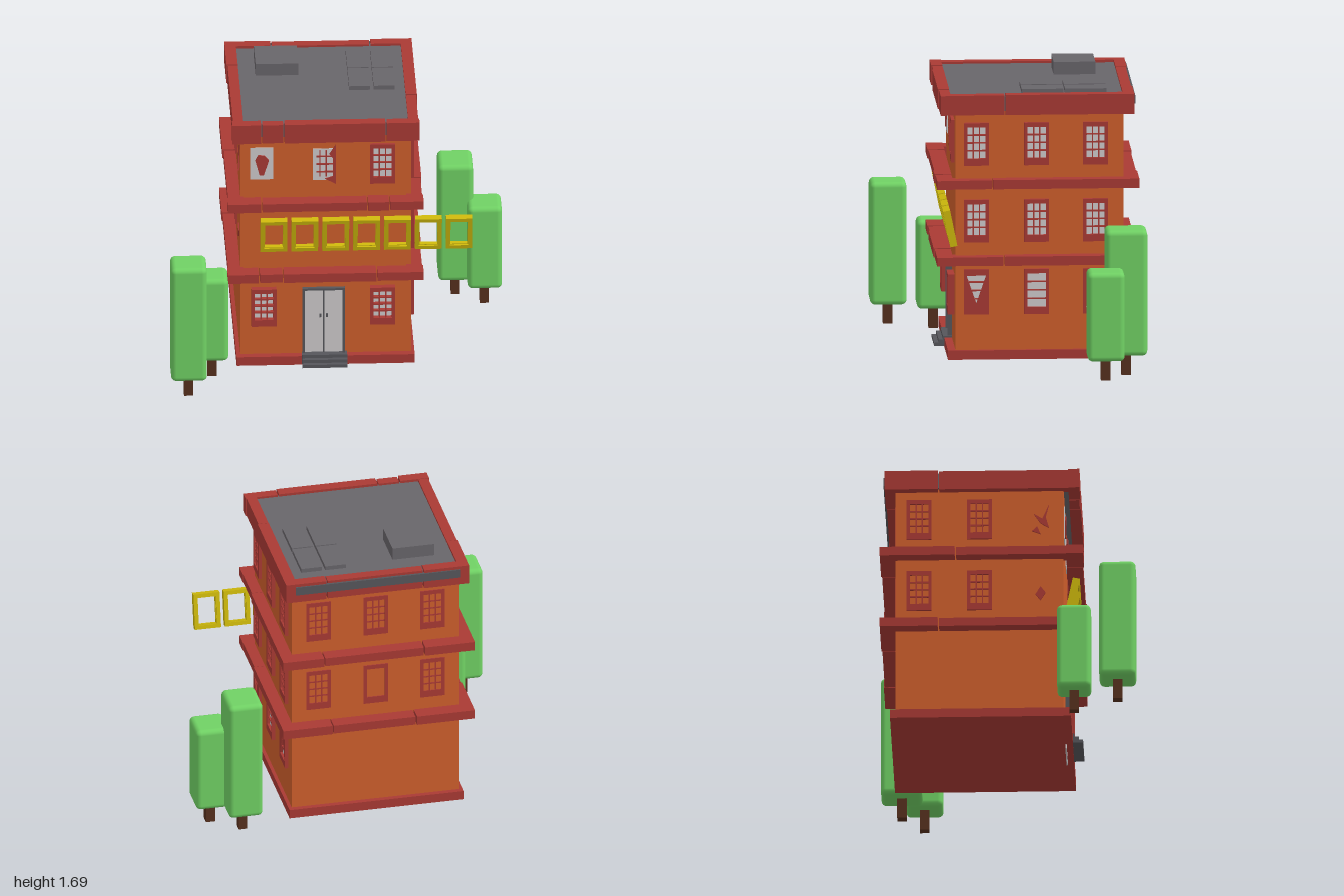
import * as THREE from 'three';
import { RoundedBoxGeometry } from 'three/addons/geometries/RoundedBoxGeometry.js';

const flat = (name, color) => {
  const m = new THREE.MeshStandardMaterial({ color });
  m.name = name;
  return m;
};

export function createModel() {
  const model = new THREE.Group();
  model.name = 'apartmentBuilding';
  const wall = flat('brickOrange', 0xcf5f2c);
  const red = flat('trimRed', 0xa93a34);
  const glass = flat('paleGlass', 0xcfcbcc);
  const roofGrey = flat('roofGrey', 0x68656a);
  const darkGrey = flat('doorGrey', 0x56565b);
  const green = flat('leafGreen', 0x70d164);
  const brown = flat('trunkBrown', 0x56301e);
  const yellow = flat('railYellow', 0xcdb80c);

  const add = (parent, name, geo, mat, x = 0, y = 0, z = 0) => {
    const m = new THREE.Mesh(geo, mat);
    m.name = name;
    m.position.set(x, y, z);
    parent.add(m);
    return m;
  };
  // Box given by its limits on each axis
  const block = (parent, name, mat, x0, x1, y0, y1, z0, z1) =>
    add(parent, name, new THREE.BoxGeometry(x1 - x0, y1 - y0, z1 - z0), mat,
      (x0 + x1) / 2, (y0 + y1) / 2, (z0 + z1) / 2);
  const poly = pts => new THREE.Shape(pts.map(p => new THREE.Vector2(p[0], p[1])));
  const rect = (w, h, dy = 0) => poly([[-w / 2, dy - h / 2], [w / 2, dy - h / 2], [w / 2, dy + h / 2], [-w / 2, dy + h / 2]]);
  const extrude = (shape, depth) => new THREE.ExtrudeGeometry(shape, { depth, bevelEnabled: false });
  const frameGeo = (w, h, hole, depth) => {
    const s = rect(w, h);
    s.holes.push(hole);
    return extrude(s, depth);
  };

  // Main body, base and roof
  block(model, 'walls', wall, -0.577, 0.43, 0.08, 1.58, -0.655, 0.335);
  block(model, 'base', red, -0.6, 0.45, 0.04, 0.095, -0.686, 0.38);
  block(model, 'roofDeck', roofGrey, -0.6, 0.45, 1.53, 1.615, -0.69, 0.38);
  block(model, 'roofHatch', roofGrey, -0.457, -0.206, 1.6, 1.69, -0.524, -0.278);
  for (const x of [0.083, 0.227])
    for (const z of [-0.56, -0.305])
      block(model, 'roofPanel', roofGrey, x, x + 0.124, 1.6, 1.64, z, z + 0.245);

  // Ledges and parapet: rings of stone pieces with fine joints
  function ring(name, [x0, x1, z0, z1], t, y0, y1, joints) {
    const g = new THREE.Group();
    g.name = name;
    model.add(g);
    const run = (a, b, cuts, make) => {
      const e = [a, ...cuts, b];
      for (let i = 0; i < e.length - 1; i++)
        make(e[i] + (i ? 0.004 : 0), e[i + 1] - (i < e.length - 2 ? 0.004 : 0), (i % 2) * 0.006);
    };
    run(x0, x1, joints.front, (a, b, d) => block(g, 'frontStone', red, a, b, y0, y1 - d / 2, z1 - t, z1 - d));
    run(x0, x1, joints.back, (a, b, d) => block(g, 'backStone', red, a, b, y0, y1 - d / 2, z0 + d, z0 + t));
    run(z0 + t, z1 - t, joints.left, (a, b, d) => block(g, 'leftStone', red, x1 - t, x1 - d, y0, y1 - d / 2, a, b));
    run(z0 + t, z1 - t, joints.right, (a, b, d) => block(g, 'rightStone', red, x0 + d, x0 + t, y0, y1 - d / 2, a, b));
  }
  ring('lowerLedge', [-0.655, 0.5, -0.745, 0.452], 0.1, 0.61, 0.665,
    { front: [-0.465, -0.325, 0.225], back: [-0.3, 0.2], left: [0.05], right: [-0.4] });
  ring('upperLedge', [-0.655, 0.5, -0.745, 0.452], 0.1, 1.07, 1.125,
    { front: [-0.45, 0.17, 0.3], back: [-0.35, 0.25], left: [0.12], right: [-0.3] });
  ring('parapet', [-0.627, 0.477, -0.717, 0.43], 0.066, 1.51, 1.63,
    { front: [-0.45, -0.32, 0.28], back: [-0.35, 0.23], left: [0.045], right: [-0.4] });
  block(model, 'rearGutter', darkGrey, -0.57, 0.42, 1.56, 1.612, -0.725, -0.705);

  // Wall faces: local +z points out of the wall
  const face = (name, x, z, turn) => {
    const g = new THREE.Group();
    g.name = name;
    g.position.set(x, 0, z);
    g.rotation.y = turn;
    model.add(g);
    return g;
  };
  const front = face('frontWindows', 0, 0.335, 0);
  const left = face('leftWindows', 0.43, 0, Math.PI / 2);
  const right = face('rightWindows', -0.577, 0, -Math.PI / 2);
  const back = face('backWindows', 0, -0.655, Math.PI);

  // Window styles: grid, bars, plain, triangleDown, triangleUp
  function makeWindow(parent, x, y, { style = 'grid', depth = 0.02, glazed = true, h = 0.255, w = 0.147 } = {}) {
    const g = new THREE.Group();
    g.name = 'window';
    g.position.set(x, y, 0);
    parent.add(g);
    const gw = 0.108, gh = h - 0.068, dy = 0.008, d = depth * 0.75;
    let hole = rect(gw, gh, dy);
    if (style.startsWith('triangle')) {
      const s = style === 'triangleDown' ? 1 : -1;
      hole = poly([[-0.058, s * 0.098], [0.058, s * 0.098], [0, s * -0.07]]);
    }
    add(g, 'windowFrame', frameGeo(w, h, hole, depth), red);
    if (glazed) block(g, 'windowGlass', glass, -gw / 2 - 0.006, gw / 2 + 0.006, -h / 2 + 0.01, h / 2 - 0.01, 0, 0.004);
    if (style === 'grid')
      for (const s of [-1, 1])
        block(g, 'uprightBar', red, s * gw / 6 - 0.004, s * gw / 6 + 0.004, dy - gh / 2, dy + gh / 2, 0, d);
    if (style !== 'plain')
      for (const k of [-1, 0, 1]) {
        const by = dy + k * gh / 4;
        let half = gw / 2;
        if (style === 'triangleDown') half = 0.058 * (by + 0.07) / 0.168;
        if (style === 'triangleUp') half = 0.058 * (0.07 - by) / 0.168;
        if (half > 0.005) block(g, 'crossBar', red, -half, half, by - 0.004, by + 0.004, 0, d);
      }
  }

  for (const x of [-0.435, 0.262]) makeWindow(front, x, 0.41, { depth: 0.04, h: 0.24 });
  makeWindow(front, 0.262, 1.328);
  const spots = [-0.212, 0.143, 0.49];
  const lowStyles = ['triangleDown', 'bars', 'triangleUp'];
  spots.forEach((x, i) => {
    makeWindow(left, x, 1.33);
    makeWindow(left, x, 0.87);
    makeWindow(left, x, 0.445, { style: lowStyles[i], h: 0.27 });
  });
  for (const y of [1.33, 0.87]) {
    for (const z of [-0.515, -0.16]) makeWindow(right, z, y, { depth: 0.01, glazed: false });
    for (const x of [-0.27, 0.075, 0.415])
      makeWindow(back, x, y, { depth: 0.006, glazed: false, style: x === 0.075 && y < 1 ? 'plain' : 'grid' });
  }

  // Broken windows: bare glass with leftover pieces of frame
  const shard = (parent, pts, z = 0.005) => add(parent, 'frameShard', extrude(poly(pts), 0.008), red, 0, 0, z);
  block(front, 'brokenGlass', glass, -0.515, -0.38, 1.235, 1.44, 0, 0.005);
  shard(front, [[-0.46, 1.265], [-0.435, 1.265], [-0.405, 1.36], [-0.43, 1.39], [-0.468, 1.395], [-0.485, 1.36]]);
  block(front, 'brokenGlass', glass, -0.147, -0.03, 1.225, 1.428, 0, 0.005);
  shard(front, [[-0.012, 1.2], [-0.012, 1.455], [-0.05, 1.395], [-0.03, 1.37], [-0.03, 1.25], [-0.075, 1.235]]);
  for (const x of [-0.106, -0.07]) block(front, 'uprightBar', red, x - 0.004, x + 0.004, 1.25, 1.42, 0, 0.012);
  for (const y of [1.28, 1.33, 1.38]) block(front, 'crossBar', red, -0.125, -0.03, y - 0.004, y + 0.004, 0, 0.012);
  shard(right, [[0.16, 1.36], [0.21, 1.33], [0.25, 1.42], [0.23, 1.34], [0.25, 1.27], [0.2, 1.3]], 0);
  shard(right, [[0.15, 1.25], [0.2, 1.23], [0.18, 1.28]], 0);
  shard(right, [[0.17, 0.84], [0.2, 0.8], [0.23, 0.85], [0.2, 0.89]], 0);

  // Double door with steps
  const door = face('frontDoor', -0.084, 0.335, 0);
  block(door, 'doorPanels', glass, -0.12, 0.12, 0.015, 0.515, 0, 0.008);
  for (const s of [-1, 1]) {
    block(door, 'doorJamb', darkGrey, s * 0.118 - 0.007, s * 0.118 + 0.007, 0.1, 0.525, 0, 0.025);
    block(door, 'doorHandle', darkGrey, s * 0.02 - 0.006, s * 0.02 + 0.006, 0.335, 0.355, 0, 0.02);
  }
  block(door, 'doorSeam', darkGrey, -0.004, 0.004, 0.1, 0.515, 0, 0.012);
  block(door, 'doorHead', darkGrey, -0.125, 0.125, 0.512, 0.525, 0, 0.025);
  for (let i = 0; i < 3; i++)
    block(door, 'step', darkGrey, -0.128, 0.137, 0.045 + i * 0.02, 0.065 + i * 0.02, 0, 0.105 - i * 0.026);

  // Tilted row of yellow balcony frames
  const rail = face('balconyRail', 0, 0.385, 0);
  rail.position.y = 0.893;
  rail.rotation.x = 0.2;
  for (let i = 0; i < 7; i++) {
    const x = -0.378 + i * 0.1815;
    add(rail, 'railFrame', frameGeo(0.157, 0.218, rect(0.112, 0.172), 0.042), yellow, x, 0, -0.021);
    add(rail, 'railInnerFrame', frameGeo(0.13, 0.19, rect(0.104, 0.164), 0.02), yellow, x, 0, -0.01);
  }

  // Trees: crown limits x0, x1, top, z0, z1
  for (const [x0, x1, top, z0, z1] of [
    [-1, -0.79, 0.86, 0.555, 0.77], [-0.84, -0.653, 0.657, 0.303, 0.502],
    [0.627, 0.835, 0.877, -0.775, -0.53], [0.798, 1, 0.657, -0.633, -0.415]]) {
    const tree = new THREE.Group();
    tree.name = 'tree';
    tree.position.set((x0 + x1) / 2, 0, (z0 + z1) / 2);
    model.add(tree);
    add(tree, 'treeCrown', new RoundedBoxGeometry(x1 - x0, top - 0.125, z1 - z0, 3, 0.03), green, 0, (top + 0.125) / 2, 0);
    block(tree, 'treeTrunk', brown, -0.027, 0.027, 0, 0.15, -0.028, 0.028);
  }
  return model;
}
